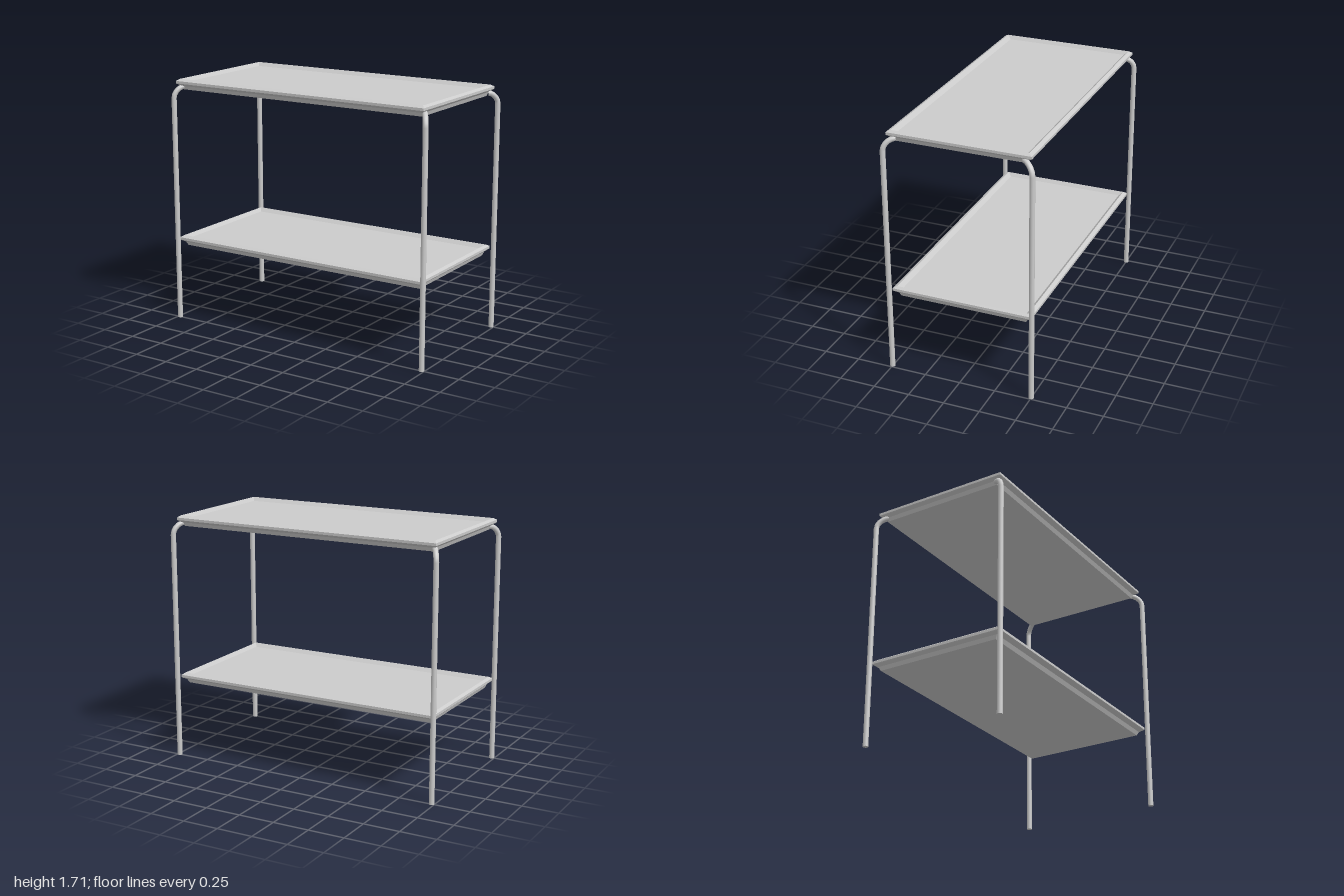
import * as THREE from 'three';

const smooth = new THREE.MeshStandardMaterial({ color: 0xcccccc });
const flat = new THREE.MeshStandardMaterial({ color: 0xcccccc, flatShading: true });

const BASE_X = 0.932, BASE_Z = 0.44; // half size of the tray underside
const END_SCALE = 0.72; // the short ends have a narrower rim than the long sides
const LEG_X = 0.982, LEG_Z = 0.5, LEG_R = 0.018, BEND_Y = 1.58;

// Rim cross-section as [outward offset, height], from the underside over the lip to the raised floor
const RIM = [[0, 0], [0.014, 0.026], [0.04, 0.04], [0.047, 0.045], [0.047, 0.062], [0.022, 0.075], [-0.005, 0.05]];

// Tray: nested rectangles following the rim section, closed by two floor faces
function createTray(name, y) {
  const pos = [], index = [];
  for (const [d, h] of RIM) {
    const x = BASE_X + d * END_SCALE, z = BASE_Z + d;
    pos.push(-x, h, z, x, h, z, x, h, -z, -x, h, -z);
  }
  for (let i = 0; i < RIM.length - 1; i++) {
    for (let j = 0; j < 4; j++) {
      const a = i * 4 + j, b = i * 4 + (j + 1) % 4;
      index.push(a, b, b + 4, a, b + 4, a + 4);
    }
  }
  const t = (RIM.length - 1) * 4;
  index.push(0, 2, 1, 0, 3, 2, t, t + 1, t + 2, t, t + 2, t + 3);
  const indexed = new THREE.BufferGeometry();
  indexed.setAttribute('position', new THREE.Float32BufferAttribute(pos, 3));
  indexed.setIndex(index);
  const geo = indexed.toNonIndexed();
  geo.computeVertexNormals();
  const tray = new THREE.Mesh(geo, flat);
  tray.name = name;
  tray.position.set(-0.007, y, 0);
  return tray;
}

// Leg: straight post with a quarter bend that turns in under the tray corner
function createLeg(name, sx, sz) {
  const leg = new THREE.Group();
  leg.name = name;
  const post = new THREE.Mesh(new THREE.CylinderGeometry(LEG_R, LEG_R, BEND_Y, 12), smooth);
  post.name = 'post';
  post.position.set(sx * LEG_X, BEND_Y / 2, sz * LEG_Z);

  const dx = 0.046, dz = 0.07, dy = 0.078, k = 0.5;
  const at = (u, v) => new THREE.Vector3(sx * (LEG_X - dx * u), BEND_Y + dy * v, sz * (LEG_Z - dz * u));
  const curve = new THREE.CubicBezierCurve3(at(0, 0), at(0, k), at(1 - k, 1), at(1, 1));
  const bend = new THREE.Mesh(new THREE.TubeGeometry(curve, 5, LEG_R, 12), smooth);
  bend.name = 'bend';
  leg.add(post, bend);
  return leg;
}

export function createModel() {
  const table = new THREE.Group();
  table.name = 'trayTable';
  table.add(createTray('topTray', 1.635), createTray('lowerTray', 0.525));
  for (const sx of [-1, 1]) {
    for (const sz of [-1, 1]) {
      table.add(createLeg((sz > 0 ? 'front' : 'back') + (sx > 0 ? 'Left' : 'Right') + 'Leg', sx, sz));
    }
  }
  return table;
}
